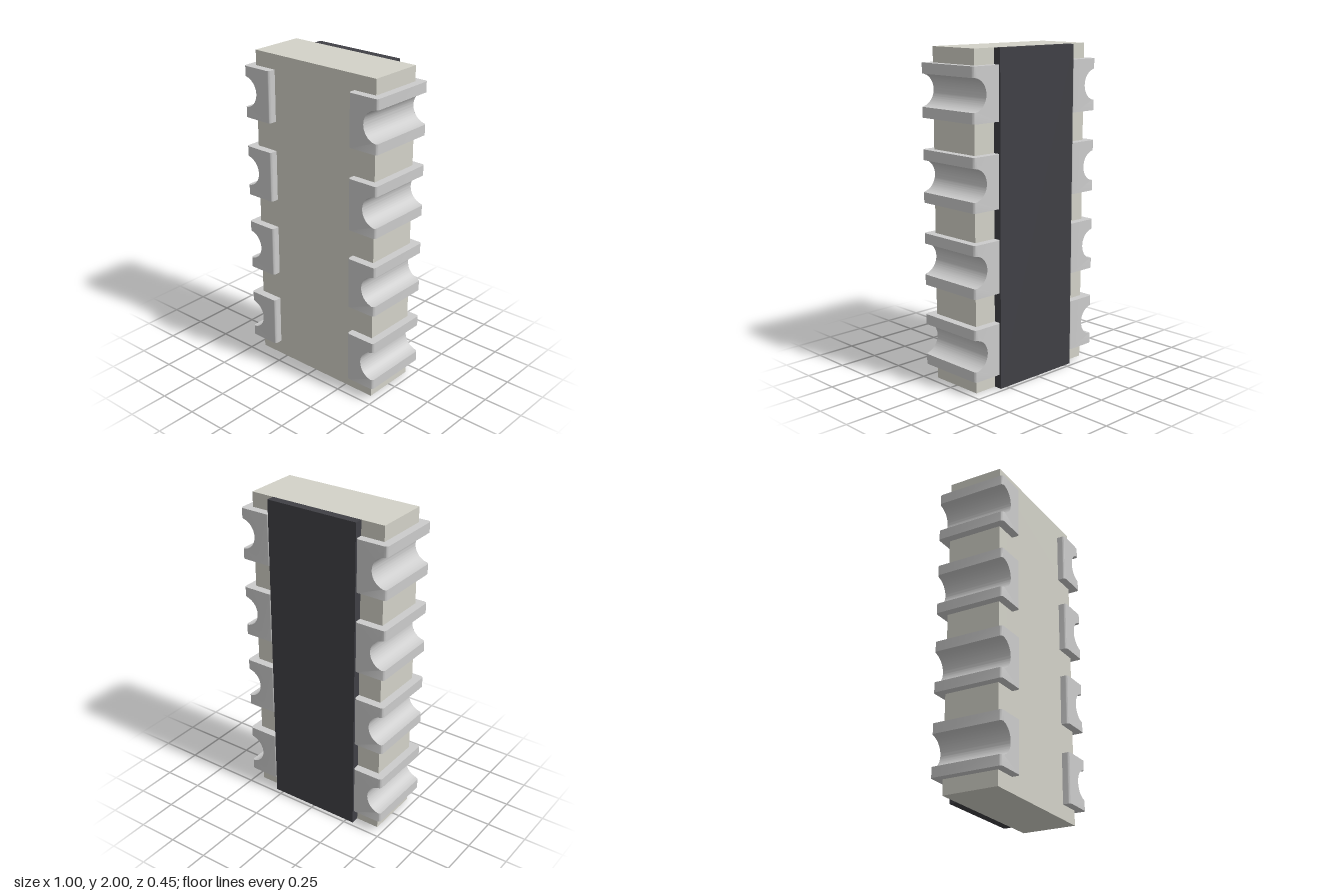
import * as THREE from 'three';
import { toCreasedNormals } from 'three/addons/utils/BufferGeometryUtils.js';

const BODY = { x: 0.45, z: 0.174, h: 2 };
const PAD = { inner: 0.3, outer: 0.5, z: 0.225, half: 0.158, notch: 0.095, fillet: 0.018 };
const ROWS = [0.25, 0.75, 1.25, 1.75];

// Slab outline with a pocket behind each terminal, so the notches pass clear through
function bodyGeometry() {
  const pocketX = 0.36, pocketHalf = 0.14;
  const side = [[BODY.x, 0]];
  for (const y of ROWS) {
    side.push([BODY.x, y - pocketHalf], [pocketX, y - pocketHalf],
      [pocketX, y + pocketHalf], [BODY.x, y + pocketHalf]);
  }
  side.push([BODY.x, BODY.h]);
  const mirrored = side.map(([x, y]) => [-x, y]).reverse();
  const shape = new THREE.Shape([...side, ...mirrored].map(([x, y]) => new THREE.Vector2(x, y)));
  const geo = new THREE.ExtrudeGeometry(shape, { depth: 2 * BODY.z, bevelEnabled: false });
  return geo.translate(0, 0, -BODY.z);
}

// Notched block whose four long corners are rounded by clamping x at each depth
function terminalGeometry() {
  const { inner, outer, z, half, notch, fillet } = PAD;
  const shape = new THREE.Shape();
  shape.moveTo(inner, -half);
  shape.lineTo(outer, -half);
  shape.lineTo(outer, -notch);
  shape.absarc(outer, 0, notch, -Math.PI / 2, Math.PI / 2, true);
  shape.lineTo(outer, half);
  shape.lineTo(inner, half);
  shape.closePath();

  // Depth stations: quarter arc, straight run, quarter arc
  const arc = 4;
  const stations = [];
  for (let i = 0; i <= arc; i++) {
    const a = (i / arc) * Math.PI / 2;
    stations.push({ z: -z + fillet * (1 - Math.sin(a)), inset: fillet * (1 - Math.cos(a)) });
  }
  stations.reverse();
  for (const s of stations) s.z = -z + fillet - (s.z + z);
  for (let i = 0; i <= arc; i++) {
    const a = (i / arc) * Math.PI / 2;
    stations[i] = { z: -z + fillet * (1 - Math.cos(a)), inset: fillet * (1 - Math.sin(a)) };
  }
  for (let i = arc; i >= 0; i--) stations.push({ z: -stations[i].z, inset: stations[i].inset });

  const steps = stations.length - 1;
  const geo = new THREE.ExtrudeGeometry(shape, { depth: 1, steps, curveSegments: 24, bevelEnabled: false });
  const pos = geo.attributes.position;
  for (let i = 0; i < pos.count; i++) {
    const s = stations[Math.round(pos.getZ(i) * steps)];
    pos.setX(i, THREE.MathUtils.clamp(pos.getX(i), inner + s.inset, outer - s.inset));
    pos.setZ(i, s.z);
  }
  return toCreasedNormals(geo, 0.6);
}

export function createModel() {
  const model = new THREE.Group();
  model.name = 'chipArray';
  const ceramic = new THREE.MeshStandardMaterial({ color: 0xd3d2c8 });
  const metal = new THREE.MeshStandardMaterial({ color: 0xcccccc });
  const dark = new THREE.MeshStandardMaterial({ color: 0x404045 });

  const add = (name, geo, mat) => {
    const mesh = new THREE.Mesh(geo, mat);
    mesh.name = name;
    model.add(mesh);
    return mesh;
  };

  add('ceramicBody', bodyGeometry(), ceramic);

  // Dark coating on the back, between the terminal rows
  const thickness = PAD.z - BODY.z;
  add('backCoating', new THREE.BoxGeometry(2 * PAD.inner, BODY.h, thickness), dark)
    .position.set(0, BODY.h / 2, -BODY.z - thickness / 2);

  // Four notched terminals down each side
  const terminal = terminalGeometry();
  ROWS.forEach((y, i) => {
    add(`leftTerminal${i + 1}`, terminal, metal).position.y = y;
    const right = add(`rightTerminal${i + 1}`, terminal, metal);
    right.position.y = y;
    right.rotation.y = Math.PI;
  });
  return model;
}
